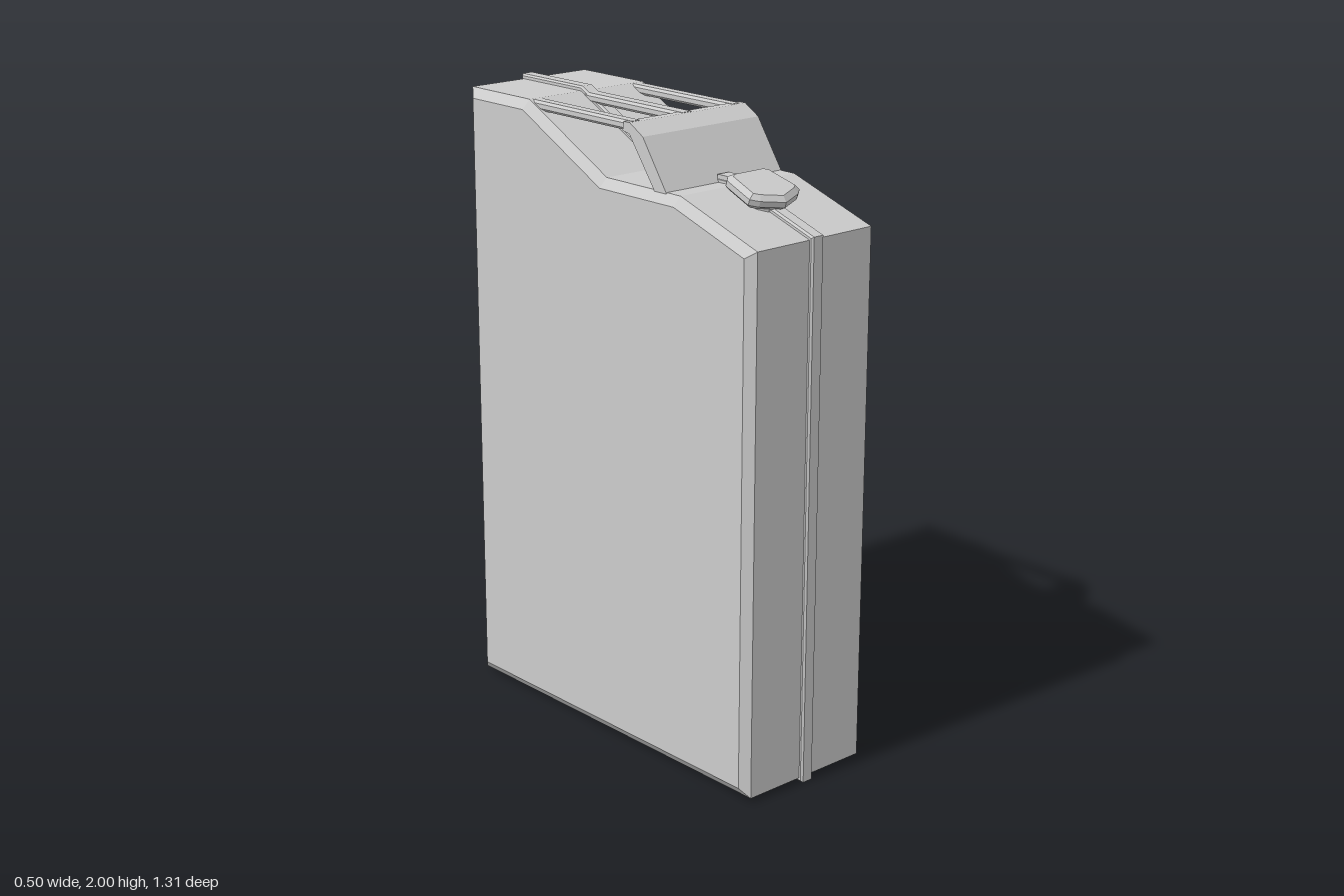
import * as THREE from 'three';

const mat = new THREE.MeshStandardMaterial({ color: 0xcccccc, flatShading: true });

const toShape = (pts) => new THREE.Shape(pts.map(([a, b]) => new THREE.Vector2(a, b)));

// Extrude a (z, y) side profile across the width, with a one-step chamfer kept inside the profile
function sideExtrude(pts, width, thick = 0, size = 0) {
  const geo = new THREE.ExtrudeGeometry(toShape(pts), {
    depth: width - 2 * thick, bevelEnabled: thick > 0, bevelSegments: 1,
    bevelThickness: thick, bevelSize: size, bevelOffset: -size,
  });
  geo.translate(0, 0, thick - width / 2);
  return geo.rotateY(-Math.PI / 2);
}

function add(parent, name, geo, x = 0, y = 0, z = 0) {
  const mesh = new THREE.Mesh(geo, mat);
  mesh.name = name;
  mesh.position.set(x, y, z);
  parent.add(mesh);
  return mesh;
}

export function createModel() {
  const can = new THREE.Group();
  can.name = 'fuelCan';

  // Tank with chamfered side panels
  add(can, 'tank', sideExtrude([
    [0.645, 0.015], [0.645, 1.7], [0.325, 1.803], [0, 1.803],
    [-0.36, 1.985], [-0.645, 1.985], [-0.645, 0.015],
  ], 0.5, 0.023, 0.03));

  // Weld seam running round the middle of the tank
  add(can, 'seam', sideExtrude([
    [0.657, 0.002], [0.657, 1.71], [0.327, 1.817], [0, 1.817],
    [-0.36, 2.0], [-0.657, 2.0], [-0.657, 0.002],
  ], 0.048, 0.006, 0.006));

  // Sloping front plate of the handle
  const handle = new THREE.Group();
  handle.name = 'handle';
  can.add(handle);
  add(handle, 'handlePlate', sideExtrude([
    [0.275, 1.79], [0.165, 1.95], [0.108, 1.983], [0.08, 1.983],
    [0.076, 1.955], [0.105, 1.95], [0.222, 1.79],
  ], 0.46));

  // Three grip bars with chamfered edges
  const h = 0.015, c = 0.008;
  for (const [x, w] of [[-0.199, 0.023], [0, 0.026], [0.199, 0.023]]) {
    const section = toShape([
      [-w, -h + c], [-w + c, -h], [w - c, -h], [w, -h + c],
      [w, h - c], [w - c, h], [-w + c, h], [-w, h - c],
    ]);
    const bar = new THREE.ExtrudeGeometry(section, { depth: 0.475, bevelEnabled: false });
    add(handle, 'gripBar', bar, x, 1.969, -0.375);
  }

  // Filler cap, tilted to lie on the front slope
  const filler = new THREE.Group();
  filler.name = 'filler';
  filler.position.set(0, 1.768, 0.43);
  filler.rotation.x = Math.atan2(0.103, 0.32);
  can.add(filler);
  const capGeo = new THREE.ExtrudeGeometry(toShape([
    [-0.065, -0.1], [0.065, -0.1], [0.086, -0.08], [0.1, 0.035],
    [0.075, 0.055], [0, 0.085], [-0.075, 0.055], [-0.1, 0.035], [-0.086, -0.08],
  ]), {
    depth: 0.018, bevelEnabled: true, bevelSegments: 1,
    bevelThickness: 0.014, bevelSize: 0.016, bevelOffset: -0.016,
  });
  capGeo.rotateX(Math.PI / 2);
  add(filler, 'cap', capGeo, 0, 0.044, 0);
  add(filler, 'neck', new THREE.CylinderGeometry(0.06, 0.06, 0.05, 12), 0, 0.005, 0);

  // Hinge tab joining the cap to the handle
  add(can, 'hingeTab', new THREE.BoxGeometry(0.045, 0.022, 0.1), 0, 1.815, 0.31);

  return can;
}
